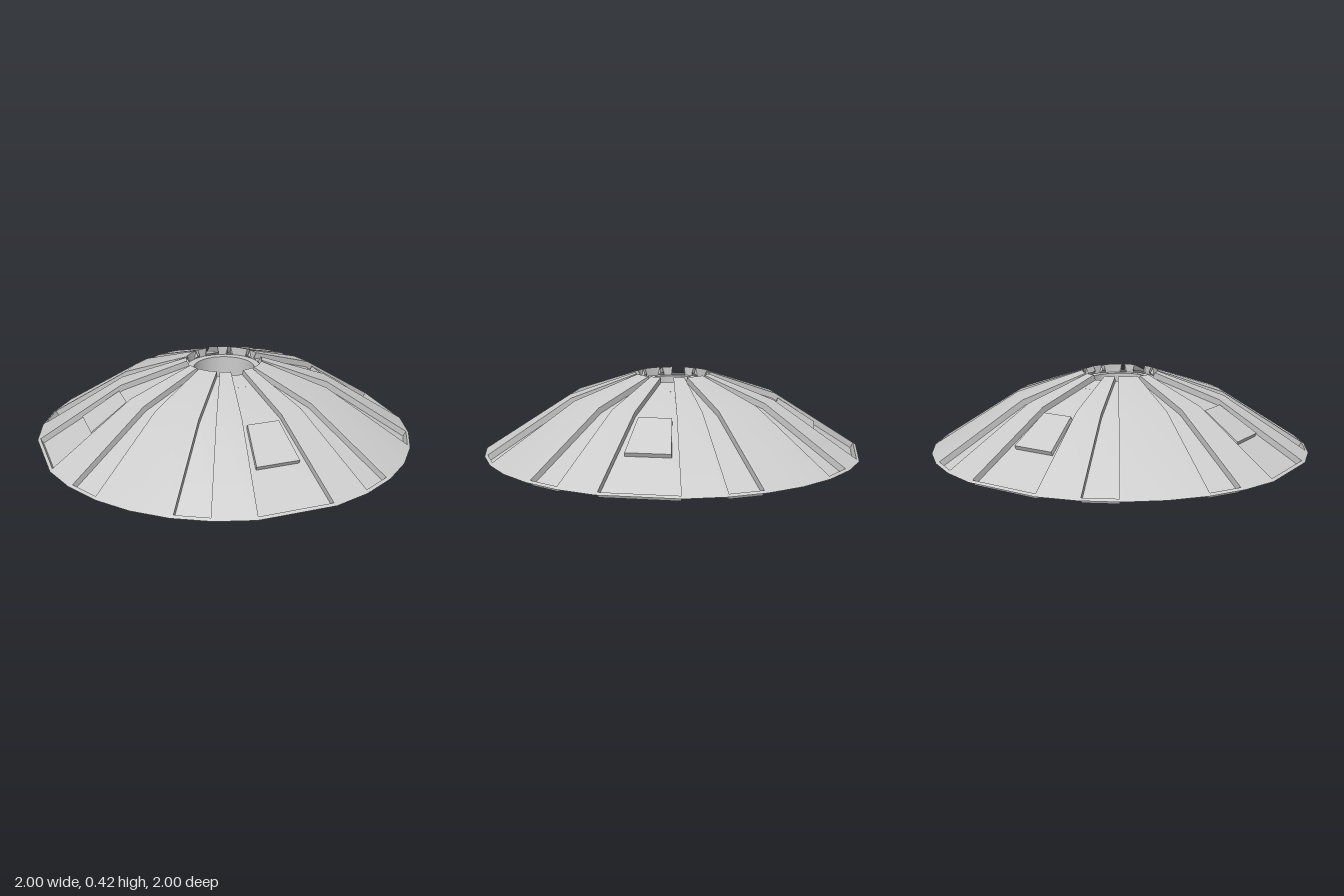
import * as THREE from 'three';
import { mergeGeometries, toCreasedNormals } from 'three/addons/utils/BufferGeometryUtils.js';

const STEP = Math.PI / 16;   // the dome is a 32-sided faceted shell
const DEPTH = 0.032;         // how far the trays sink below the shell
const PROFILE = [[0.2, 0.425], [0.55, 0.308], [1, 0.02]];

function domeHeight(r) {
  const [a, b, c] = PROFILE;
  const [p, q] = r < b[0] ? [a, b] : [b, c];
  return p[1] + (q[1] - p[1]) * (r - p[0]) / (q[0] - p[0]);
}

function polar(r, y, k) {
  return new THREE.Vector3(r * Math.cos(k * STEP), y, -r * Math.sin(k * STEP));
}

// Point on the flat facet between steps k0 and k1, sunk by depth along its normal
function facetPoint(k0, k1, r, u, depth = 0) {
  const y = domeHeight(r);
  const p = polar(r, y, k0).lerp(polar(r, y, k1), u);
  return p.addScaledVector(polar(0.45, 0.89, (k0 + k1) / 2), -depth);
}

// Surface through rows of points
function grid(rows) {
  const pos = [];
  for (let i = 0; i < rows.length - 1; i++) {
    for (let j = 0; j < rows[i].length - 1; j++) {
      const a = rows[i][j], b = rows[i + 1][j], c = rows[i + 1][j + 1], d = rows[i][j + 1];
      for (const tri of [[a, b, c], [a, c, d]]) {
        const area = new THREE.Vector3().subVectors(tri[1], tri[0])
          .cross(new THREE.Vector3().subVectors(tri[2], tri[0])).length();
        if (area > 1e-9) tri.forEach(v => pos.push(v.x, v.y, v.z));
      }
    }
  }
  const g = new THREE.BufferGeometry();
  g.setAttribute('position', new THREE.Float32BufferAttribute(pos, 3));
  return g;
}

// Plain shell facet with its short wall around the crown opening
function shellFacet(k0, k1) {
  const rows = PROFILE.map(([r]) => [0, 1].map(u => facetPoint(k0, k1, r, u)));
  rows.unshift([polar(0.2, 0.38, k0), polar(0.2, 0.38, k1)]);
  return grid(rows);
}

// Sunken tray: narrow lip, side walls, floor, and a closed outer end
function tray(k0, k1, lip) {
  const stations = [[0.2, DEPTH], [0.55, DEPTH], [0.985, DEPTH], [0.985, 0], [1, 0]];
  const rows = stations.map(([r, d]) => {
    const i = lip / (2 * r * Math.sin((k1 - k0) * STEP / 2));
    return [[0, 0], [i, 0], [i, d], [1 - i, d], [1 - i, 0], [1, 0]]
      .map(([u, depth]) => facetPoint(k0, k1, r, u, depth));
  });
  // inner end wall below the floor
  rows.unshift(rows[0].map((p, j) => polar(0.2, 0.38, j < 3 ? k0 : k1)));
  return grid(rows);
}

// Raised rectangular hatch on a wide tray
function hatch(k0, k1) {
  const ring = r => [[0.135, 0.01], [0.865, 0.01], [0.865, 0.038], [0.135, 0.038], [0.135, 0.01]]
    .map(([u, d]) => facetPoint(k0, k1, r, u, d));
  const a = ring(0.57), b = ring(0.77);
  return mergeGeometries([
    grid([a, b]),
    grid([[a[0], a[1]], [a[3], a[2]]]),
    grid([[b[3], b[2]], [b[0], b[1]]]),
  ]);
}

// Wedge under the crown, tapering inward to the bottom of the bore
function wedge(k0, k1, radius, top) {
  const section = [[0.2, top], [radius, top], [radius, 0.33], [0.185, 0.2], [0.165, 0.2]];
  const side = k => section.map(([r, y]) => polar(r, y, k));
  const a = side(k0), b = side(k1);
  const caps = [a, b].map((s, n) => {
    const c = [[s[4], s[0]], [s[3], s[1]], [s[2], s[1]]];
    return grid(n ? c : c.map(row => row.slice().reverse()));
  });
  return mergeGeometries([grid(a.map((p, i) => [p, b[i]])), ...caps]);
}

export function createModel() {
  const model = new THREE.Group();
  const material = new THREE.MeshStandardMaterial({ color: 0xcccccc, side: THREE.DoubleSide });
  const add = (name, geometries, crease = 0.5) => {
    const mesh = new THREE.Mesh(toCreasedNormals(mergeGeometries(geometries), crease), material);
    mesh.name = name;
    model.add(mesh);
  };

  const shell = [], narrow = [], wide = [], hatches = [], wedges = [];
  for (let q = 0; q < 32; q += 8) {
    // Each quarter: plain facets, two narrow trays and one wide tray
    for (const k of [0, 1, 3, 6]) {
      shell.push(shellFacet(q + k, q + k + 1));
      wedges.push(wedge(q + k, q + k + 1, 0.31, 0.382));
    }
    for (const k of [2, 7]) {
      narrow.push(tray(q + k, q + k + 1, 0.012));
      wedges.push(wedge(q + k, q + k + 1, 0.27, 0.368));
    }
    wide.push(tray(q + 4, q + 6, 0.006));
    hatches.push(hatch(q + 4, q + 6));
    wedges.push(wedge(q + 4, q + 6, 0.28, 0.365));
  }
  add('domeShell', shell);
  add('narrowTrays', narrow);
  add('wideTrays', wide);
  add('hatches', hatches, 0.3);
  add('crownWedges', wedges, 0.1);

  // Crown floor and the round bore through the middle
  const bore = [[0.18, 0.2], [0.16, 0.2], [0.16, 0.38], [0.2, 0.38]]
    .map(([r, y]) => new THREE.Vector2(r, y));
  add('crownBore', [new THREE.LatheGeometry(bore, 32).toNonIndexed()]);
  return model;
}
